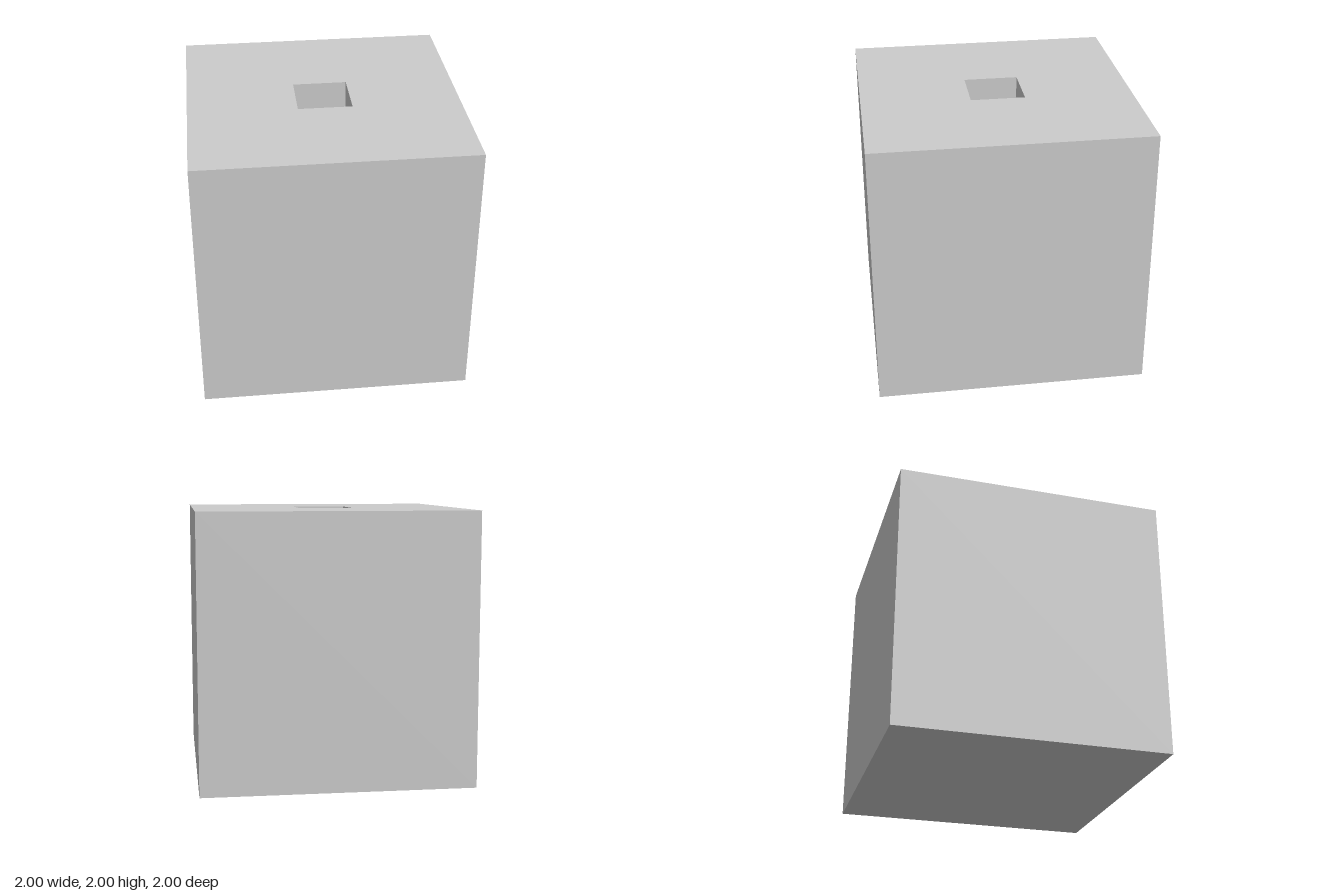
import * as THREE from 'three';

const SIZE = 2;       // edge of the cube
const HOLE = 0.4;     // edge of the square socket
const DEPTH = 1;      // depth of the socket

export function createModel() {
  const group = new THREE.Group();
  group.name = 'socketedCube';

  // Half-section from base centre, up the outside, over the rim and down to the socket floor
  const corner = Math.SQRT1_2; // edge length to corner radius
  const profile = [
    [0, 0],
    [SIZE * corner, 0],
    [SIZE * corner, SIZE],
    [HOLE * corner, SIZE],
    [HOLE * corner, SIZE - DEPTH],
    [0, SIZE - DEPTH],
  ].map(([r, y]) => new THREE.Vector2(r, y));

  // Four-sided lathe, turned so its flat sides face the axes
  const block = new THREE.Mesh(
    new THREE.LatheGeometry(profile, 4, Math.PI / 4),
    new THREE.MeshStandardMaterial({ color: 0xcccccc, flatShading: true })
  );
  block.name = 'blockWithSquareSocket';
  group.add(block);

  return group;
}
